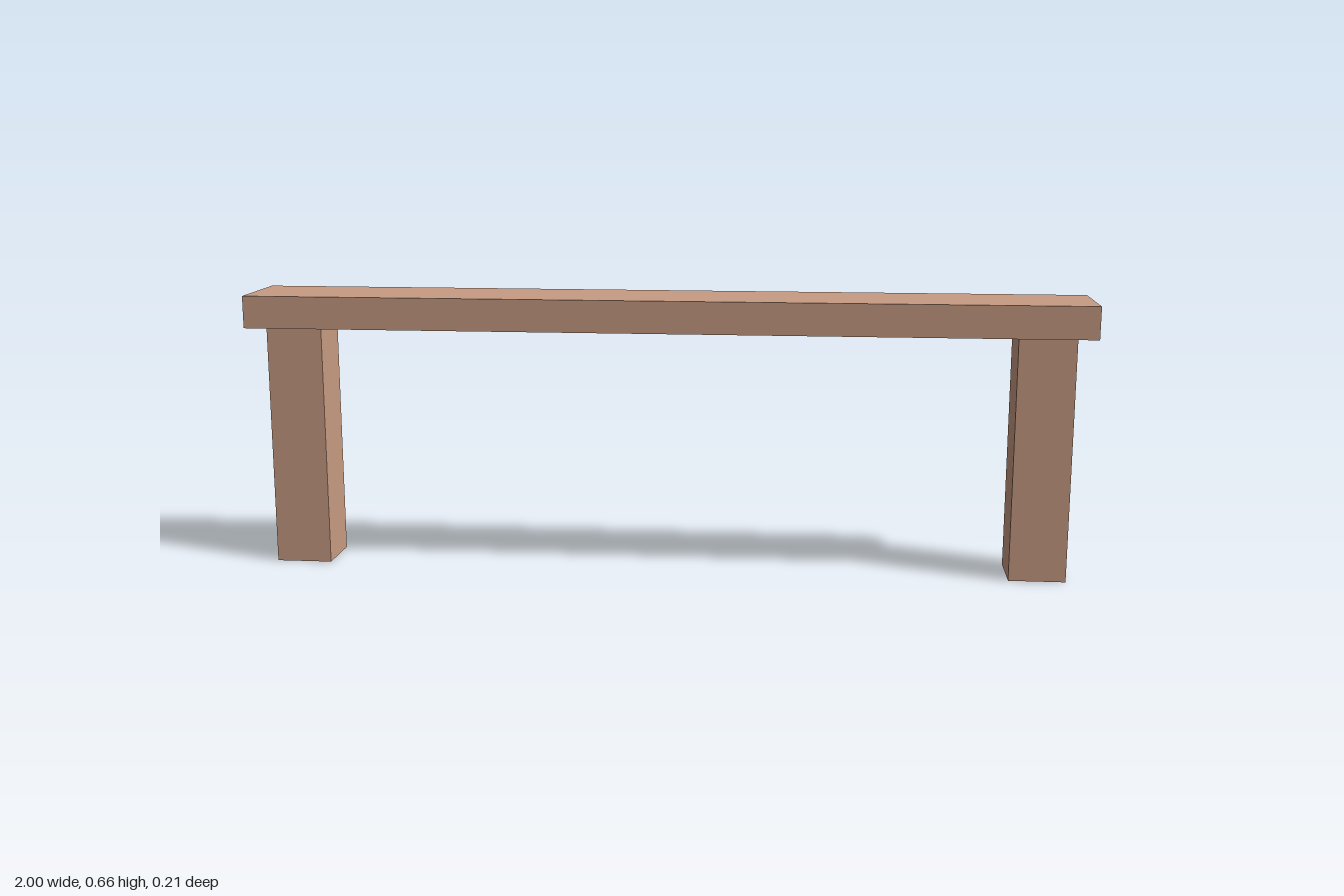
import * as THREE from 'three';

export function createModel() {
  const wood = new THREE.MeshStandardMaterial({ color: 0xc89c83 });
  wood.name = 'wood';
  const bench = new THREE.Group();
  bench.name = 'bench';

  const addBox = (name, [w, h, d], [x, y, z]) => {
    const mesh = new THREE.Mesh(new THREE.BoxGeometry(w, h, d), wood);
    mesh.name = name;
    mesh.position.set(x, y, z);
    bench.add(mesh);
  };

  const legHeight = 0.585;
  const plankHeight = 0.077;

  // Long seat plank
  addBox('seat', [2, plankHeight, 0.213], [0, legHeight + plankHeight / 2, 0]);

  // One square post near each end
  for (const [name, side] of [['leftLeg', 1], ['rightLeg', -1]]) {
    addBox(name, [0.134, legHeight, 0.134], [side * 0.891, legHeight / 2, 0]);
  }

  return bench;
}
